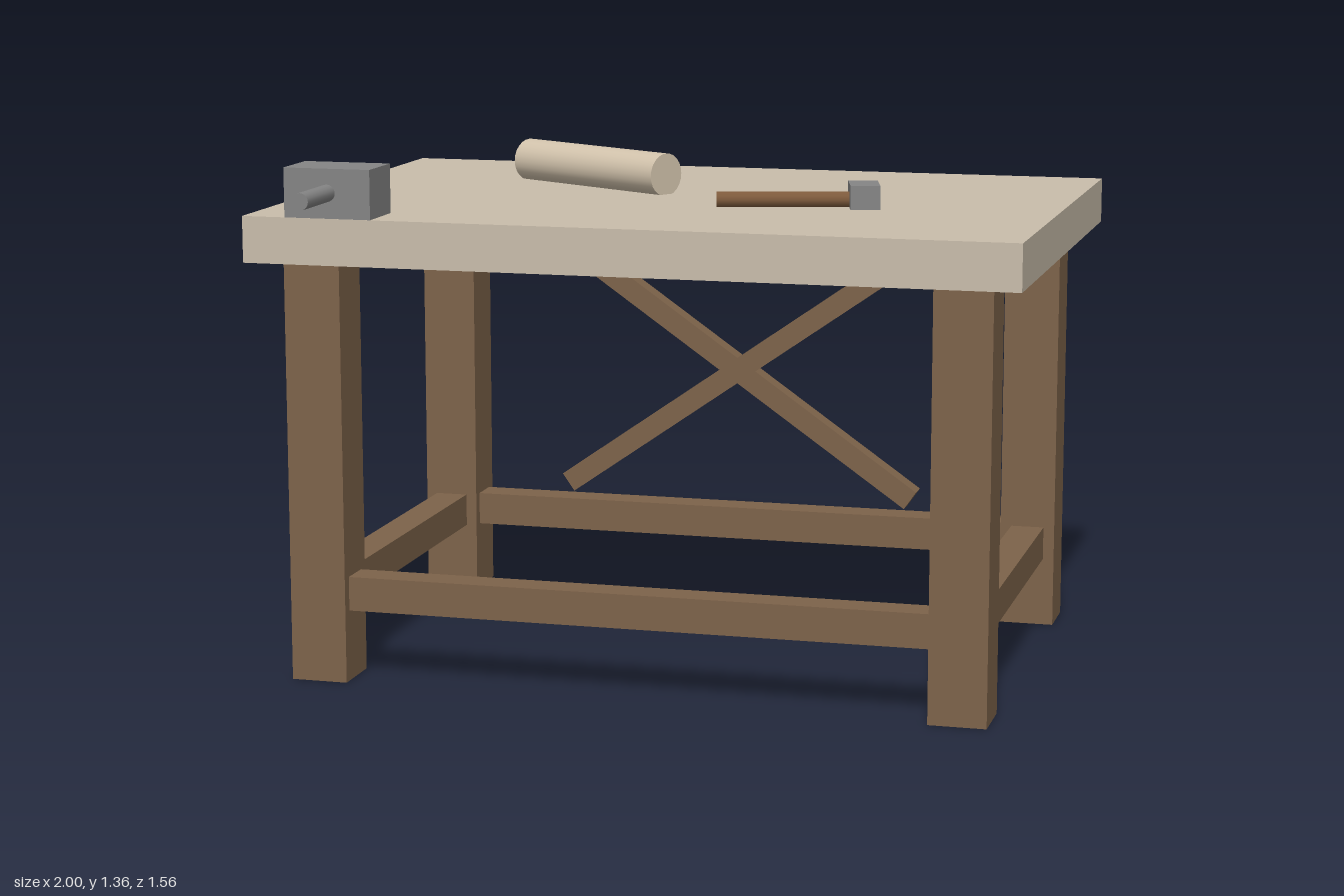
import * as THREE from 'three';

const mat = (name, color) => {
  const m = new THREE.MeshStandardMaterial({ color });
  m.name = name;
  return m;
};

export function createModel() {
  const paleWood = mat('paleWood', 0xc9bdab);
  const darkWood = mat('darkWood', 0x7d634a);
  const handleWood = mat('handleWood', 0x7d5a3c);
  const paper = mat('paper', 0xd2c3ac);
  const steel = mat('steel', 0x858585);

  const bench = new THREE.Group();
  bench.name = 'workbench';

  const add = (parent, name, geometry, material, x, y, z) => {
    const mesh = new THREE.Mesh(geometry, material);
    mesh.name = name;
    mesh.position.set(x, y, z);
    parent.add(mesh);
    return mesh;
  };
  const box = (parent, name, material, size, pos) =>
    add(parent, name, new THREE.BoxGeometry(...size), material, ...pos);
  // cylinder lying along x
  const rod = (parent, name, material, radius, length, sides, pos) =>
    add(parent, name, new THREE.CylinderGeometry(radius, radius, length, sides).rotateZ(Math.PI / 2), material, ...pos);

  const topY = 1.23, midZ = -0.092, legX = 0.845, legZ = 0.539, legW = 0.15;

  // Table top
  box(bench, 'tableTop', paleWood, [2, 0.12, 1.38], [0, topY - 0.06, midZ]);

  // Legs and the stretchers between them
  for (const s of [-1, 1]) {
    for (const t of [-1, 1]) {
      box(bench, 'leg', darkWood, [legW, 1.11, legW], [s * legX, 0.555, midZ + t * legZ]);
    }
    box(bench, 'longStretcher', darkWood, [2 * legX - legW, 0.09, 0.09], [0, 0.232, midZ + s * legZ]);
    box(bench, 'sideStretcher', darkWood, [0.09, 0.09, 2 * legZ - legW], [s * legX, 0.232, midZ]);
    // Crossed braces at the back
    box(bench, 'crossBrace', darkWood, [1.226, 0.06, 0.06], [0, 0.672, midZ - legZ]).rotation.z = s * 0.609;
  }

  // Vise on the front corner
  const vise = new THREE.Group();
  vise.name = 'vise';
  vise.position.set(-0.77, topY, 0.521);
  box(vise, 'viseBody', steel, [0.23, 0.127, 0.152], [0, 0.0635, 0]);
  rod(vise, 'viseScrew', steel, 0.022, 0.2, 16, [0, 0.065, 0.161]).rotation.y = Math.PI / 2;
  bench.add(vise);

  // Roll lying on the top
  rod(bench, 'roll', paper, 0.0575, 0.538, 24, [-0.31, 1.2825, -0.25]).rotation.y = -Math.PI / 6;

  // Hammer
  const hammer = new THREE.Group();
  hammer.name = 'hammer';
  hammer.position.set(0.49, topY, 0.013);
  hammer.rotation.y = Math.PI / 12;
  box(hammer, 'hammerHead', steel, [0.077, 0.062, 0.122], [0, 0.031, 0]);
  rod(hammer, 'hammerHandle', handleWood, 0.021, 0.365, 12, [-0.2, 0.02, 0]);
  bench.add(hammer);

  return bench;
}
